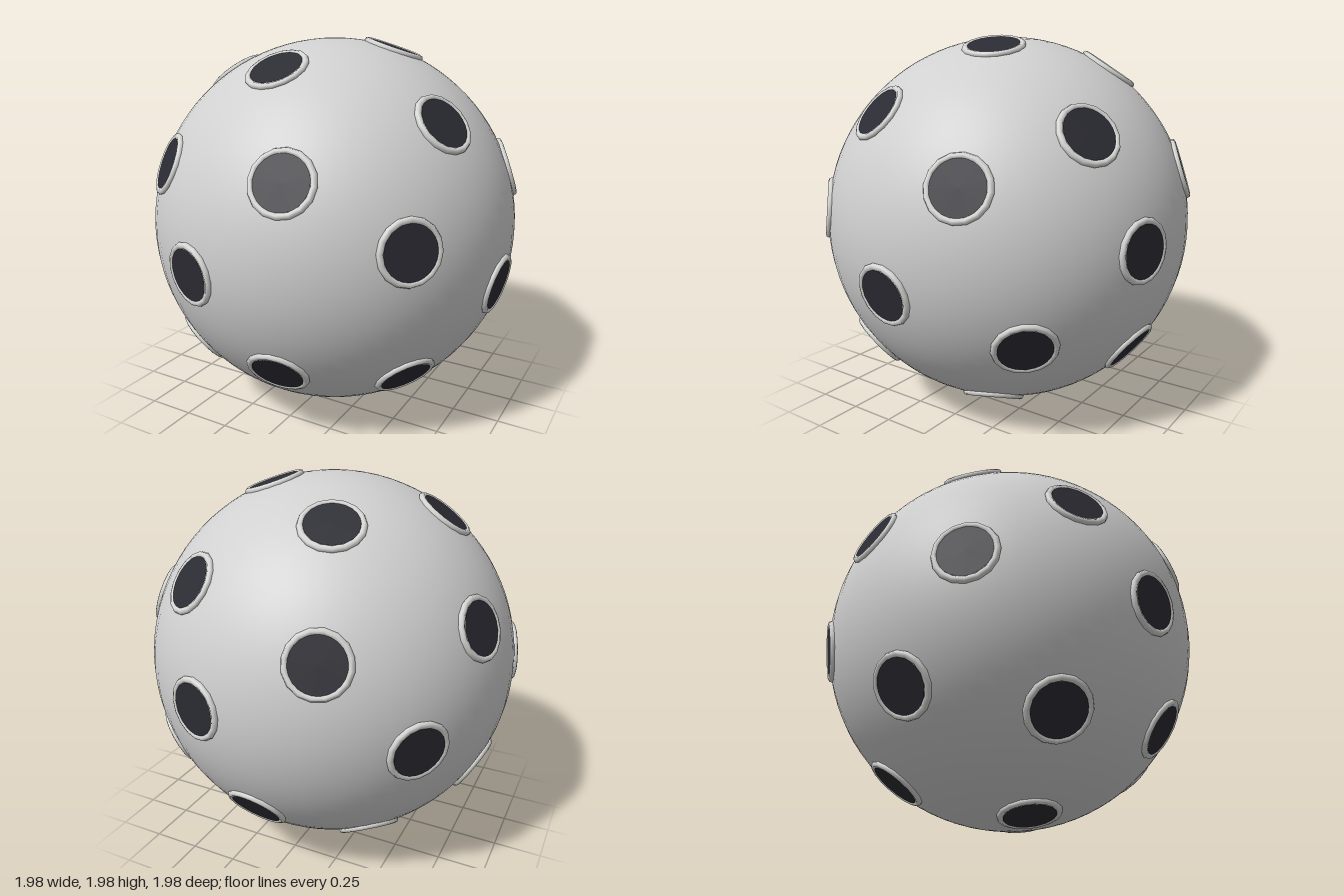
import * as THREE from 'three';

const HOLES = 26;
const GOLDEN = Math.PI * (3 - Math.sqrt(5));
const START = THREE.MathUtils.degToRad(197.9);

function material(name, color) {
  const m = new THREE.MeshStandardMaterial({ color });
  m.name = name;
  return m;
}

export function createModel() {
  const shellGrey = material('shell grey', 0xd0d0d0);
  const rimGrey = material('rim grey', 0xd6d6d4);
  const holeDark = material('hole dark', 0x2b2b33);

  const model = new THREE.Group();
  model.name = 'perforatedBall';

  // Ball shell
  const shell = new THREE.Mesh(new THREE.SphereGeometry(0.983, 64, 48), shellGrey);
  shell.name = 'shell';
  shell.position.y = 1;
  model.add(shell);

  // Shared hole parts, facing +z
  const rimGeometry = new THREE.TorusGeometry(0.144, 0.017, 8, 16);
  const discGeometry = new THREE.CircleGeometry(0.131, 24);
  const forward = new THREE.Vector3(0, 0, 1);

  // Holes on a golden-angle spiral running from front to back
  for (let i = 0; i < HOLES; i++) {
    const z = 1 - (2 * (i + 0.5)) / HOLES;
    const r = Math.sqrt(1 - z * z);
    const angle = START - GOLDEN * i;
    const direction = new THREE.Vector3(r * Math.cos(angle), r * Math.sin(angle), z);

    const hole = new THREE.Group();
    hole.name = `hole${i + 1}`;
    hole.position.y = 1;
    hole.quaternion.setFromUnitVectors(forward, direction);

    const rim = new THREE.Mesh(rimGeometry, rimGrey);
    rim.name = 'holeRim';
    rim.position.z = 0.974;
    const disc = new THREE.Mesh(discGeometry, holeDark);
    disc.name = 'holeOpening';
    disc.position.z = 0.987;

    hole.add(rim, disc);
    model.add(hole);
  }
  return model;
}
